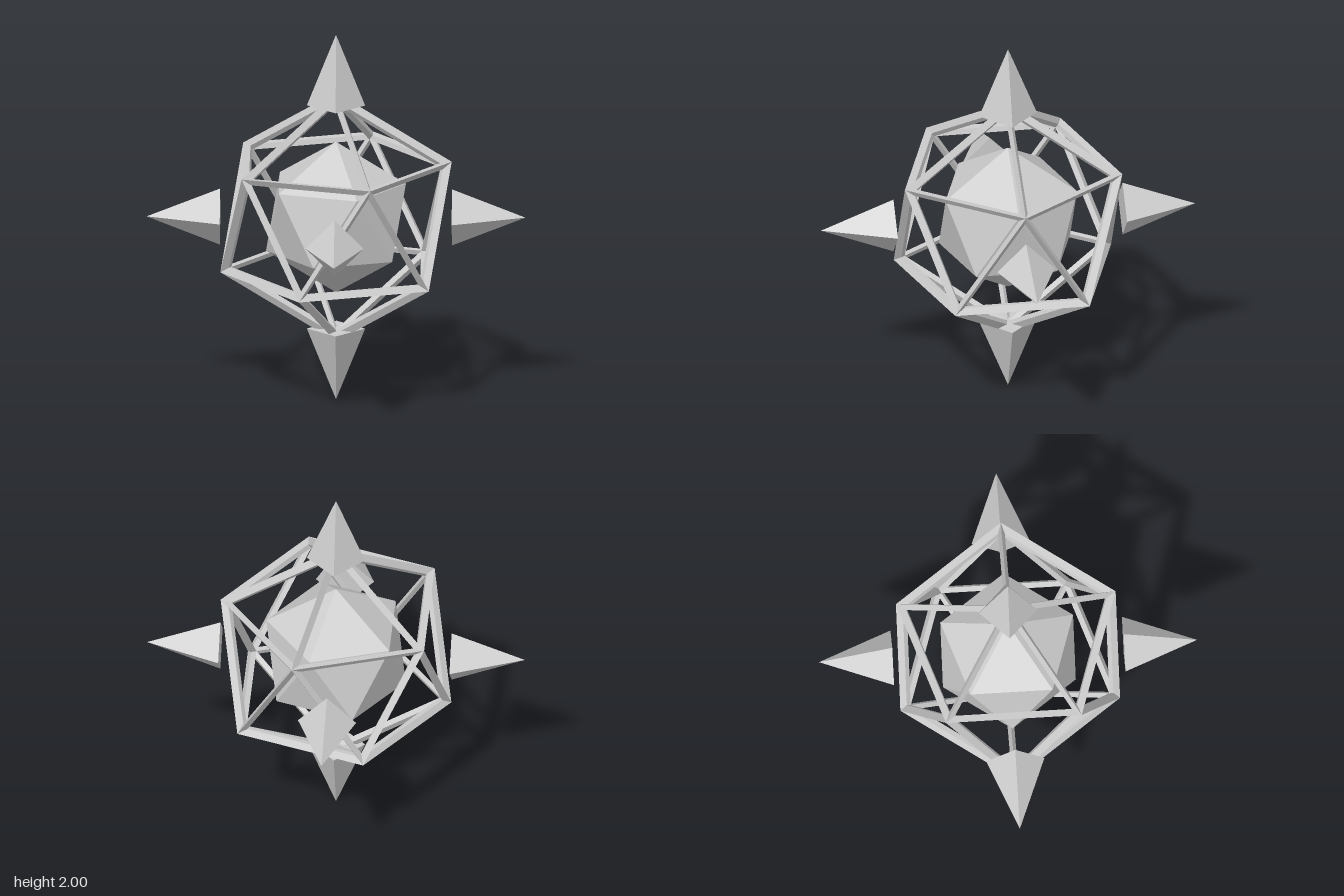
import * as THREE from 'three';

const material = new THREE.MeshStandardMaterial({ color: 0xcccccc, flatShading: true });

// Unit icosahedron standing on a corner: 20 triangles, counter-clockwise from outside
function icosahedronFaces() {
  const h = 1 / Math.sqrt(5), r = 2 * h;
  const ring = (k, y, turn) => {
    const a = (k * 72 + turn) * Math.PI / 180;
    return new THREE.Vector3(r * Math.cos(a), y, r * Math.sin(a));
  };
  const top = new THREE.Vector3(0, 1, 0), bottom = new THREE.Vector3(0, -1, 0);
  const faces = [];
  for (let k = 0; k < 5; k++) {
    const u0 = ring(k, h, 0), u1 = ring(k + 1, h, 0);
    const l0 = ring(k, -h, 36), l1 = ring(k + 1, -h, 36);
    faces.push([top, u1, u0], [u0, u1, l0], [l0, u1, l1], [l0, l1, bottom]);
  }
  return faces;
}

function meshFromTriangles(name, points) {
  const geometry = new THREE.BufferGeometry().setFromPoints(points);
  geometry.computeVertexNormals();
  const mesh = new THREE.Mesh(geometry, material);
  mesh.name = name;
  return mesh;
}

// Open cage: diamond-section struts with an outer ridge, an inner ridge and
// a window cut in every face halfway between them
function cage(faces, outer, middle, inner, inset) {
  const points = [];
  for (const face of faces) {
    const centre = new THREE.Vector3();
    face.forEach(v => centre.addScaledVector(v, middle / 3));
    const windowCorners = face.map(v => {
      const corner = v.clone().multiplyScalar(middle);
      const toCentre = centre.clone().sub(corner).normalize();
      return corner.addScaledVector(toCentre, inset * 2);
    });
    for (let i = 0; i < 3; i++) {
      const j = (i + 1) % 3;
      const wi = windowCorners[i], wj = windowCorners[j];
      const at = (k, s) => face[k].clone().multiplyScalar(s);
      points.push(at(i, outer), at(j, outer), wj, at(i, outer), wj, wi);
      points.push(at(j, inner), at(i, inner), wj, wj, at(i, inner), wi);
    }
  }
  return meshFromTriangles('cage', points);
}

export function createModel() {
  const model = new THREE.Group();
  model.name = 'cagedCore';
  const body = new THREE.Group();
  body.position.y = 1;
  model.add(body);

  const faces = icosahedronFaces();

  // Solid core
  body.add(meshFromTriangles('core', faces.flat().map(v => v.clone().multiplyScalar(0.413))));

  // Strut cage around the core
  body.add(cage(faces, 0.683, 0.65, 0.617, 0.019));

  // Six four-sided spikes floating on the axes
  const base = 0.612, tip = 1;
  const spikeGeometry = new THREE.ConeGeometry(0.154, tip - base, 4);
  const up = new THREE.Vector3(0, 1, 0);
  const directions = {
    top: [0, 1, 0], bottom: [0, -1, 0], left: [1, 0, 0],
    right: [-1, 0, 0], front: [0, 0, 1], back: [0, 0, -1],
  };
  for (const [side, d] of Object.entries(directions)) {
    const axis = new THREE.Vector3(...d);
    const spike = new THREE.Mesh(spikeGeometry, material);
    spike.name = side + 'Spike';
    spike.quaternion.setFromUnitVectors(up, axis);
    spike.position.copy(axis).multiplyScalar((base + tip) / 2);
    body.add(spike);
  }
  return model;
}
